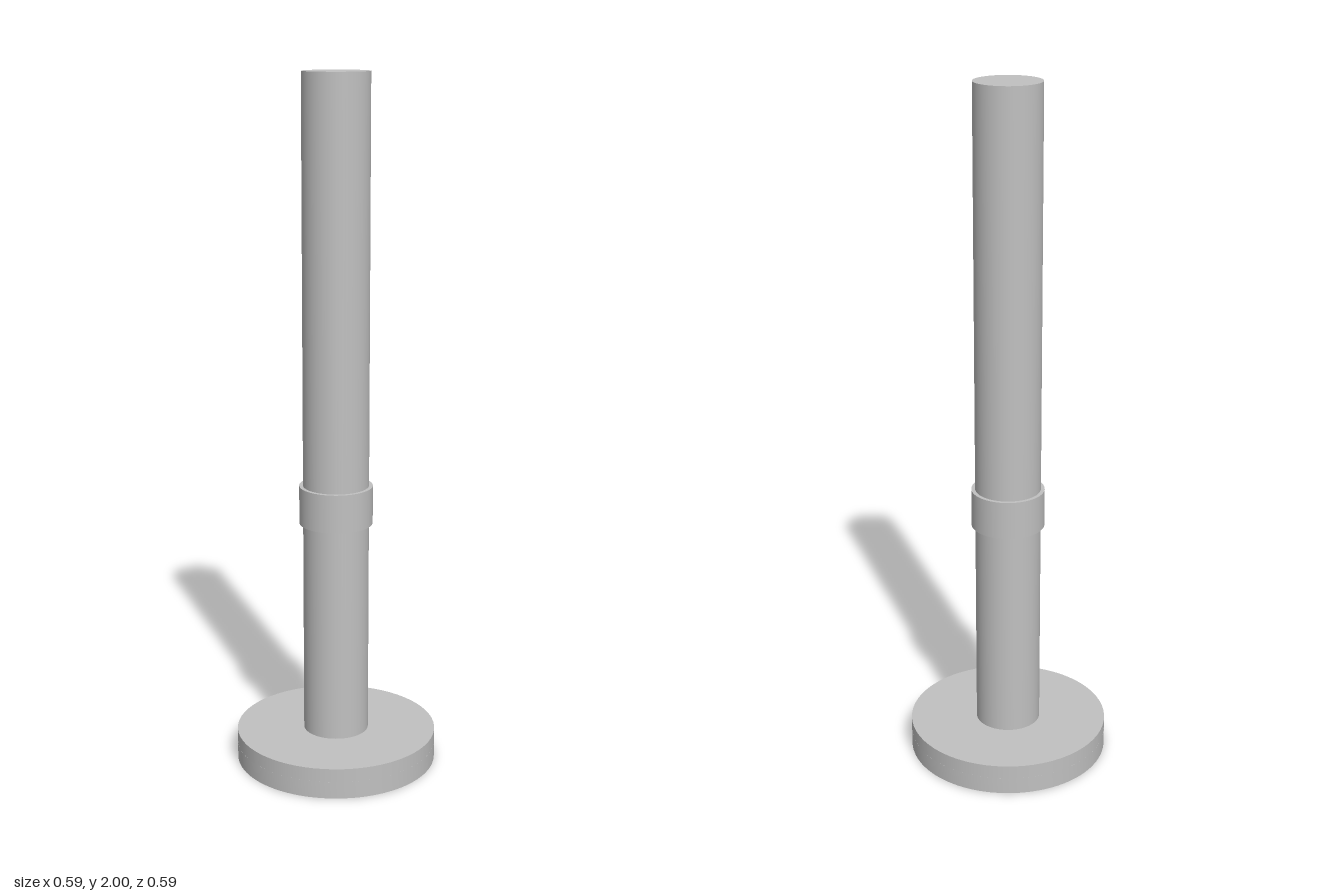
import * as THREE from 'three';
import { toCreasedNormals } from 'three/addons/utils/BufferGeometryUtils.js';

const SEGMENTS = 64;

export function createModel() {
  const model = new THREE.Group();
  model.name = 'post';
  const grey = new THREE.MeshStandardMaterial({ color: 0xc0c0c0 });
  grey.name = 'grey';

  const add = (name, geometry) => {
    const mesh = new THREE.Mesh(geometry, grey);
    mesh.name = name;
    model.add(mesh);
  };

  // Upright cylinder between two heights
  const drum = (name, radius, bottom, top) => {
    const geometry = new THREE.CylinderGeometry(radius, radius, top - bottom, SEGMENTS);
    add(name, geometry.translate(0, (bottom + top) / 2, 0));
  };

  // Underside of the foot, cut by two parallel slots running along x
  const baseRadius = 0.293, slotDepth = 0.05;
  const slotLength = 0.42, slotWidth = 0.05, slotOffset = 0.085;
  const disc = new THREE.Shape().absarc(0, 0, baseRadius, 0, Math.PI * 2, false);
  for (const side of [-1, 1]) {
    const x = slotLength / 2, near = side * slotOffset - slotWidth / 2, far = near + slotWidth;
    disc.holes.push(new THREE.Path([
      new THREE.Vector2(-x, near), new THREE.Vector2(-x, far),
      new THREE.Vector2(x, far), new THREE.Vector2(x, near),
    ]));
  }
  const slotted = new THREE.ExtrudeGeometry(disc, {
    depth: slotDepth, bevelEnabled: false, curveSegments: SEGMENTS,
  }).rotateX(-Math.PI / 2);
  add('slottedBase', toCreasedNormals(slotted, Math.PI / 6));

  // Solid upper half of the foot, column and collar
  drum('baseTop', baseRadius, slotDepth, 0.09);
  drum('column', 0.095, 0.09, 2);
  drum('collar', 0.106, 0.725, 0.837);

  return model;
}
